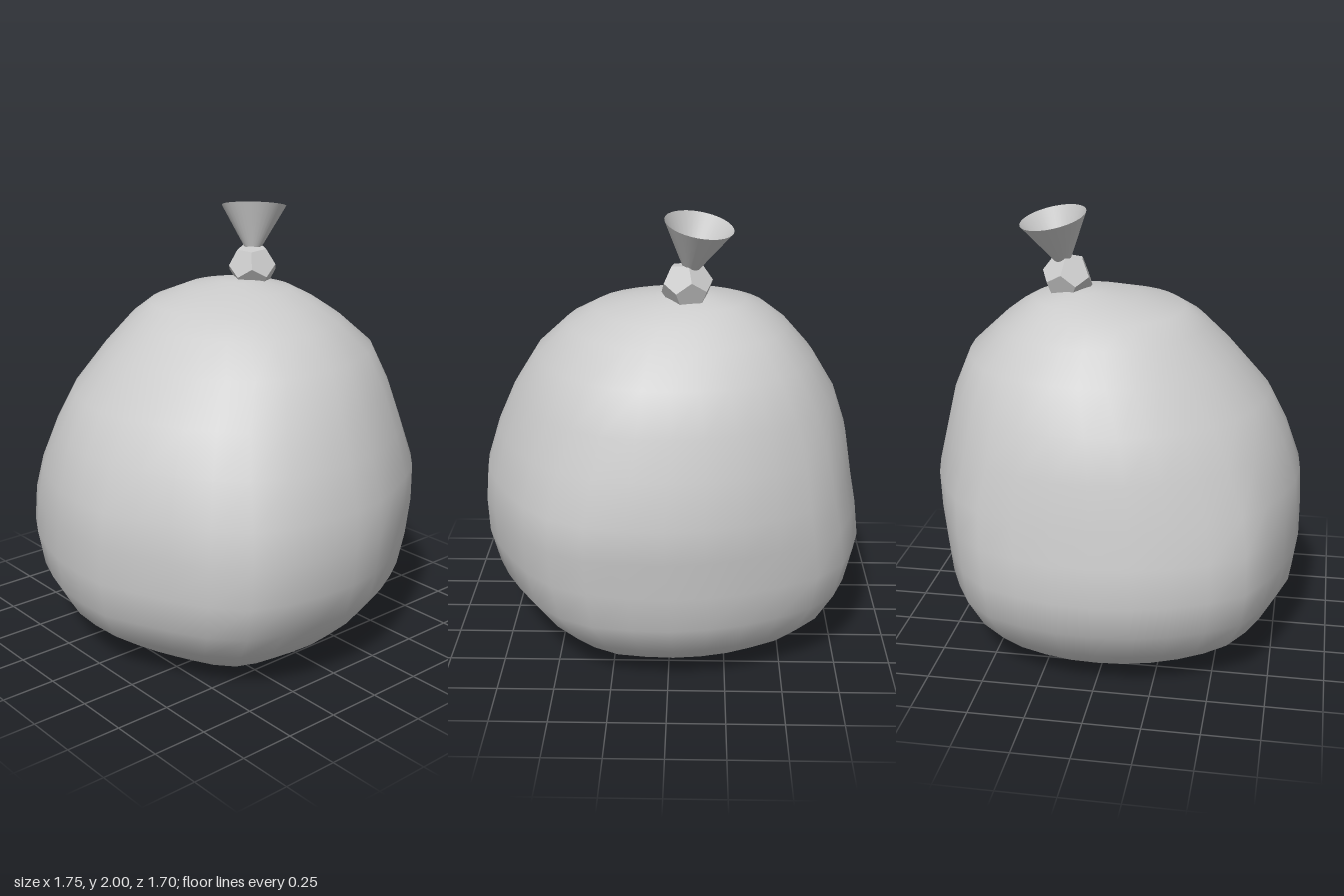
import * as THREE from 'three';

// Sack outline: height, then reach towards +x, -x, +z, -z
const RINGS = [
  [0, 0.48, -0.51, 0.49, -0.455],
  [0.08, 0.6, -0.645, 0.61, -0.61],
  [0.18, 0.71, -0.755, 0.75, -0.725],
  [0.32, 0.825, -0.84, 0.83, -0.8],
  [0.48, 0.87, -0.88, 0.853, -0.815],
  [0.65, 0.875, -0.86, 0.853, -0.84],
  [0.81, 0.86, -0.83, 0.843, -0.85],
  [1.0, 0.8, -0.8, 0.78, -0.8],
  [1.18, 0.72, -0.74, 0.69, -0.755],
  [1.36, 0.61, -0.635, 0.53, -0.68],
  [1.49, 0.47, -0.52, 0.4, -0.54],
  [1.56, 0.34, -0.43, 0.3, -0.45],
  [1.61, 0.18, -0.33, 0.1, -0.37],
  [1.64, 0.02, -0.18, -0.06, -0.24],
];
// Lumps around the sack, from +x through +z, for the lower and upper part
const LOW = [
  1, 1.01, 1.04, 1.065, 1.035, 0.995, 0.985, 1.005, 0.995, 1, 1.005, 1.03, 1.065, 1.035, 1.015, 1.005,
  1, 1.01, 1.025, 1.055, 1.045, 1.01, 1, 0.995, 1, 1.01, 1.04, 1.04, 1.015, 0.985, 0.98, 0.995,
];
const HIGH = [
  1, 1.01, 1.02, 1.02, 1.01, 1, 0.99, 0.995, 1, 1, 1, 0.995, 0.99, 0.99, 0.99, 0.995,
  1, 1.01, 1.02, 1.03, 1.03, 1.02, 1.01, 1, 1, 1.015, 1.03, 1.03, 1.015, 1, 0.985, 0.995,
];
const SEGMENTS = LOW.length;

// Lumpy closed skin through the rings, with a flat base
function sackGeometry() {
  const positions = [];
  const index = [];
  for (const [y, px, nx, pz, nz] of RINGS) {
    const t = THREE.MathUtils.smoothstep(y, 0.6, 1.2);
    for (let j = 0; j < SEGMENTS; j++) {
      const a = (j / SEGMENTS) * Math.PI * 2;
      const lump = THREE.MathUtils.lerp(LOW[j], HIGH[j], t);
      positions.push(
        (px + nx) / 2 + ((px - nx) / 2) * Math.cos(a) * lump,
        y,
        (pz + nz) / 2 + ((pz - nz) / 2) * Math.sin(a) * lump
      );
    }
  }
  const bottom = positions.length / 3;
  const top = bottom + 1;
  positions.push(0, 0, 0, -0.08, 1.646, -0.15);
  const last = (RINGS.length - 1) * SEGMENTS;
  for (let j = 0; j < SEGMENTS; j++) {
    const k = (j + 1) % SEGMENTS;
    for (let i = 0; i < last; i += SEGMENTS) {
      const a = i + j, b = i + k, c = a + SEGMENTS, d = b + SEGMENTS;
      index.push(a, c, b, b, c, d);
    }
    index.push(bottom, j, k, top, last + k, last + j);
  }
  const geometry = new THREE.BufferGeometry();
  geometry.setAttribute('position', new THREE.Float32BufferAttribute(positions, 3));
  geometry.setIndex(index);
  geometry.computeVertexNormals();
  return geometry;
}

export function createModel() {
  const group = new THREE.Group();
  const add = (name, geometry, options = {}) => {
    const mesh = new THREE.Mesh(geometry, new THREE.MeshStandardMaterial({ color: 0xcccccc, ...options }));
    mesh.name = name;
    group.add(mesh);
    return mesh;
  };

  add('sack', sackGeometry());

  // Faceted knot, one pentagon turned to the front
  const knot = add('knot', new THREE.DodecahedronGeometry(0.115), { flatShading: true });
  knot.position.set(-0.073, 1.688, -0.225);
  knot.quaternion.setFromUnitVectors(
    new THREE.Vector3(0, 1, (1 + Math.sqrt(5)) / 2).normalize(),
    new THREE.Vector3(0.2, -0.12, 1).normalize()
  );

  // Open funnel of gathered cloth, leaning back and to the right
  const from = new THREE.Vector3(-0.09, 1.775, -0.242);
  const to = new THREE.Vector3(-0.124, 1.963, -0.277);
  const neck = add(
    'gatheredNeck',
    new THREE.CylinderGeometry(0.15, 0.038, from.distanceTo(to), 32, 1, true),
    { side: THREE.DoubleSide }
  );
  neck.position.copy(from).lerp(to, 0.5);
  neck.quaternion.setFromUnitVectors(new THREE.Vector3(0, 1, 0), to.clone().sub(from).normalize());

  return group;
}
